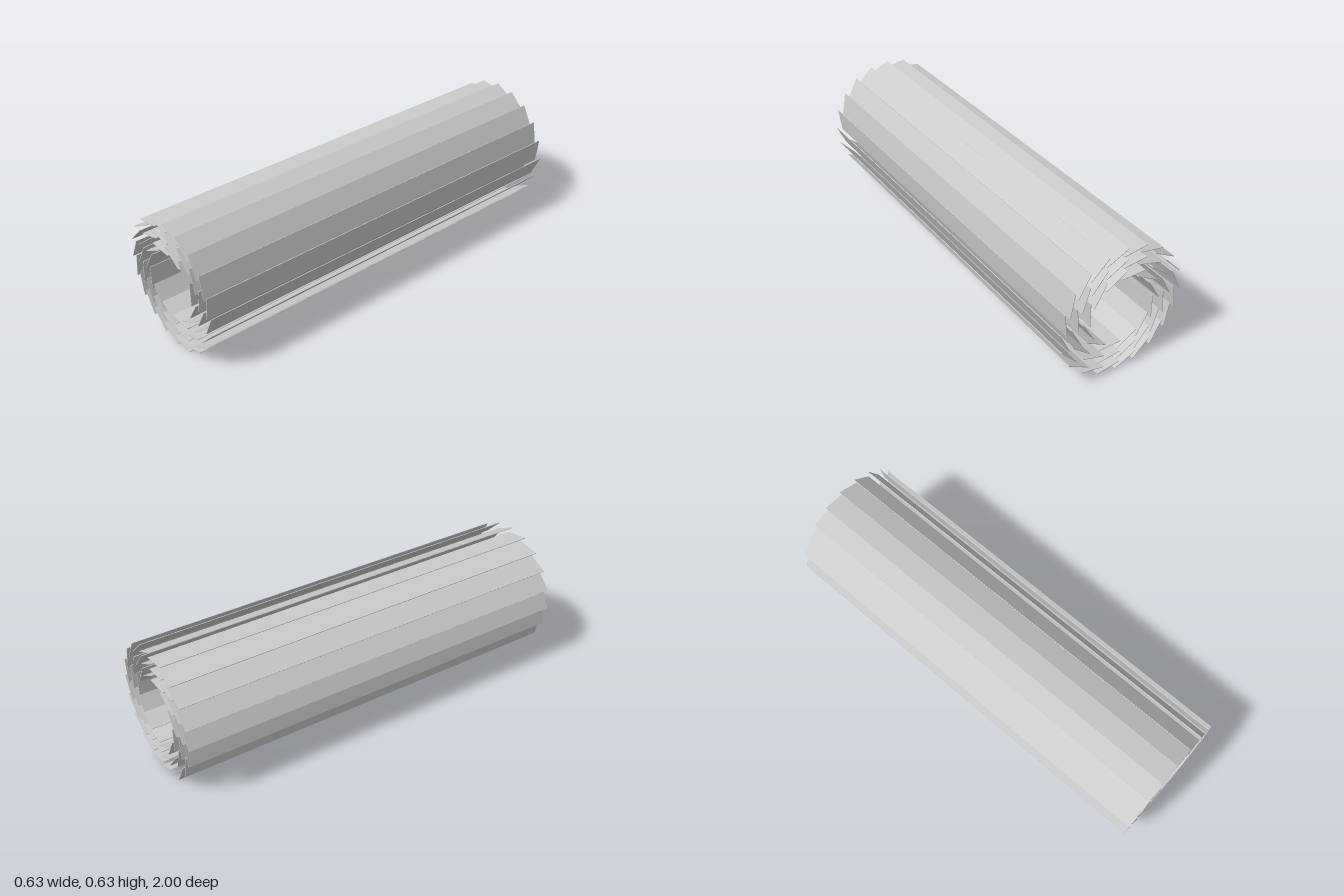
import * as THREE from 'three';

// Three nested rings of long, thin, overlapping slats forming a hollow tube
export function createModel() {
  const model = new THREE.Group();
  model.name = 'slatTube';
  const material = new THREE.MeshStandardMaterial({ color: 0xcccccc, flatShading: true });
  const slat = new THREE.BoxGeometry(0.1175, 0.003, 2);

  // offset: sideways shift of the slat, radius: distance from axis, tilt: pitch in degrees
  const rings = [
    { name: 'innerRing', count: 12, offset: 0.039, radius: 0.1673, tilt: -31.1 },
    { name: 'middleRing', count: 16, offset: 0.04, radius: 0.2283, tilt: -28.4 },
    { name: 'outerRing', count: 20, offset: 0.0415, radius: 0.2865, tilt: -25.5 },
  ];

  for (const { name, count, offset, radius, tilt } of rings) {
    const ring = new THREE.Group();
    ring.name = name;
    ring.position.y = 0.313;
    for (let i = 0; i < count; i++) {
      const pivot = new THREE.Group();
      pivot.rotation.z = (-i / count) * Math.PI * 2;
      const mesh = new THREE.Mesh(slat, material);
      mesh.name = 'slat';
      mesh.position.set(offset, radius, 0);
      mesh.rotation.z = THREE.MathUtils.degToRad(tilt);
      pivot.add(mesh);
      ring.add(pivot);
    }
    model.add(ring);
  }
  return model;
}
